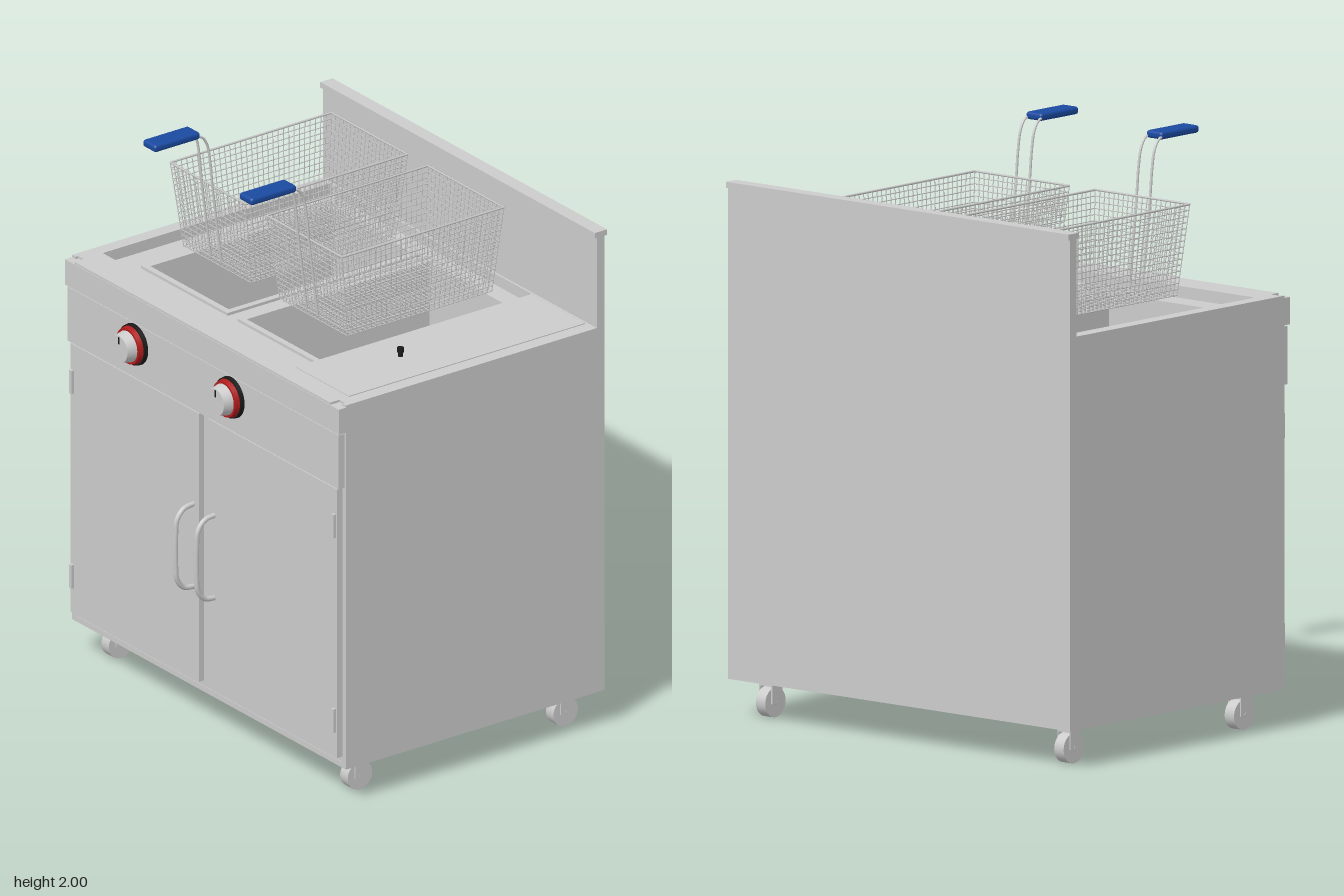
import * as THREE from 'three';
import { mergeGeometries } from 'three/addons/utils/BufferGeometryUtils.js';
import { RoundedBoxGeometry } from 'three/addons/geometries/RoundedBoxGeometry.js';

const paint = (color) => new THREE.MeshStandardMaterial({ color });
const steel = paint(0xcccccc), blue = paint(0x1a4aa0), red = paint(0xb01c1c), black = paint(0x1a1a1a);

function add(parent, name, geometry, material = steel) {
  const mesh = new THREE.Mesh(geometry, material);
  mesh.name = name;
  parent.add(mesh);
  return mesh;
}

function group(parent, name) {
  const g = new THREE.Group();
  g.name = name;
  parent.add(g);
  return g;
}

// Box given by its limits on each axis
function box(x0, x1, y0, y1, z0, z1) {
  return new THREE.BoxGeometry(x1 - x0, y1 - y0, z1 - z0)
    .translate((x0 + x1) / 2, (y0 + y1) / 2, (z0 + z1) / 2);
}

// Horizontal plate with rectangular holes; rectangles are [x0, x1, z0, z1]
function plate(outer, holes, y0, y1) {
  const loop = ([x0, x1, z0, z1]) =>
    [[x0, -z1], [x1, -z1], [x1, -z0], [x0, -z0]].map((p) => new THREE.Vector2(...p));
  const shape = new THREE.Shape(loop(outer));
  holes.forEach((h) => shape.holes.push(new THREE.Path(loop(h))));
  return new THREE.ExtrudeGeometry(shape, { depth: y1 - y0, bevelEnabled: false })
    .rotateX(-Math.PI / 2).translate(0, y0, 0);
}

// Cylinder lying along z
const discZ = (rBack, rFront, z0, z1, segments = 40) =>
  new THREE.CylinderGeometry(rFront, rBack, z1 - z0, segments)
    .rotateX(Math.PI / 2).translate(0, 0, (z0 + z1) / 2);

// Straight wire between two points
function wire(a, b, r = 0.0018) {
  const dir = b.clone().sub(a);
  const q = new THREE.Quaternion().setFromUnitVectors(new THREE.Vector3(0, 1, 0), dir.clone().normalize());
  return new THREE.CylinderGeometry(r, r, dir.length(), 5)
    .applyQuaternion(q).translate(...a.clone().add(b).multiplyScalar(0.5).toArray());
}

const tube = (points, r, steps = 32) => new THREE.TubeGeometry(
  new THREE.CatmullRomCurve3(points.map((p) => new THREE.Vector3(...p)), false, 'centripetal'), steps, r, 10);

// Tapered wire basket with its handle, centred on x = 0
function buildBasket(parent) {
  const basket = group(parent, 'basket');
  const yBottom = 1.48, yTop = 1.785, rows = 15, cols = 20, deep = 30;
  const { lerp } = THREE.MathUtils;
  // u, v run 0..1 across x and z, t runs 0..1 from bottom to top
  const point = (u, t, v) => {
    const half = lerp(0.187, 0.21, t);
    return new THREE.Vector3(lerp(-half, half, u), lerp(yBottom, yTop, t),
      lerp(lerp(-0.425, -0.458, t), lerp(0.175, 0.213, t), v));
  };
  const wires = [];
  for (let i = 0; i <= cols; i++) {
    const u = i / cols;
    wires.push(wire(point(u, 0, 0), point(u, 0, 1)));
    for (const v of [0, 1]) wires.push(wire(point(u, 0, v), point(u, 1, v)));
  }
  for (let i = 0; i <= deep; i++) {
    const v = i / deep;
    wires.push(wire(point(0, 0, v), point(1, 0, v)));
    for (const u of [0, 1]) wires.push(wire(point(u, 0, v), point(u, 1, v)));
  }
  for (let i = 0; i <= rows; i++) {
    const t = i / rows, r = i === rows ? 0.004 : 0.0018;
    for (const s of [0, 1]) {
      wires.push(wire(point(0, t, s), point(1, t, s), r));
      wires.push(wire(point(s, t, 0), point(s, t, 1), r));
    }
  }
  add(basket, 'basketMesh', mergeGeometries(wires));
  for (const x of [-0.03, 0.03]) {
    add(basket, 'handleRod', tube([[x, 1.5, 0.18], [x, 1.65, 0.2], [x, 1.79, 0.218], [x, 1.88, 0.227],
      [x, 1.945, 0.24], [x, 1.978, 0.262], [x, 1.987, 0.3]], 0.0045));
  }
  add(basket, 'handleGrip', new RoundedBoxGeometry(0.072, 0.026, 0.19, 3, 0.01).translate(0, 1.987, 0.365), blue);
  return basket;
}

// Control knob facing +z
function buildKnob(parent) {
  const knob = group(parent, 'knob');
  add(knob, 'knobFlange', discZ(0.073, 0.071, 0.513, 0.53), black);
  add(knob, 'knobRing', discZ(0.067, 0.063, 0.53, 0.547), red);
  add(knob, 'knobDial', discZ(0.055, 0.047, 0.547, 0.582));
  add(knob, 'knobPointer', box(-0.003, 0.003, 0.018, 0.043, 0.58, 0.584), black);
  return knob;
}

// Swivel caster standing on the floor
function buildCaster(parent) {
  const caster = group(parent, 'caster');
  add(caster, 'casterPlate', box(-0.035, 0.035, 0.118, 0.132, -0.045, 0.045));
  add(caster, 'casterTop', box(-0.028, 0.028, 0.106, 0.118, -0.025, 0.025));
  for (const s of [-1, 1]) {
    add(caster, 'casterFork', new THREE.BoxGeometry(0.005, 0.07, 0.05).translate(s * 0.0265, 0.083, 0));
  }
  add(caster, 'casterWheel', new THREE.CylinderGeometry(0.051, 0.051, 0.042, 32).rotateZ(Math.PI / 2).translate(0, 0.051, 0));
  add(caster, 'casterAxle', new THREE.CylinderGeometry(0.008, 0.008, 0.06, 12).rotateZ(Math.PI / 2).translate(0, 0.051, 0));
  return caster;
}

export function createModel() {
  const model = new THREE.Group();
  model.name = 'deepFryer';

  // Cabinet shell
  const cabinet = group(model, 'cabinet');
  for (const s of [-1, 1]) {
    add(cabinet, 'sidePanel', new THREE.BoxGeometry(0.02, 1.33, 1.075).translate(s * 0.75, 0.795, -0.0475));
  }
  add(cabinet, 'backPanel', box(-0.74, 0.74, 0.13, 1.46, -0.585, -0.565));
  add(cabinet, 'floorPanel', box(-0.74, 0.74, 0.13, 0.15, -0.565, 0.49));
  add(cabinet, 'frontFrame', box(-0.74, 0.74, 0.15, 1.4, 0.47, 0.488));
  add(cabinet, 'controlPanel', box(-0.752, 0.752, 1.157, 1.354, 0.485, 0.515));

  // Worktop: rim, front rail, recessed deck and side cover
  const tankX = [-0.375, 0.16], offsets = [-0.375, 0.16];
  const worktop = group(model, 'worktop');
  add(worktop, 'rim', plate([-0.76, 0.76, -0.585, 0.48], [[-0.71, 0.71, -0.545, 0.4]], 1.42, 1.46));
  add(worktop, 'frontRail', box(-0.76, 0.76, 1.36, 1.452, 0.42, 0.52));
  add(worktop, 'frontRailTop', box(-0.71, 0.71, 1.45, 1.46, 0.4, 0.518));
  add(worktop, 'deck', plate([-0.74, 0.74, -0.565, 0.42],
    tankX.map((x) => [x - 0.217, x + 0.217, -0.47, 0.29]), 1.4, 1.415));
  add(worktop, 'sideCover', box(0.415, 0.71, 1.4, 1.463, -0.54, 0.44));
  add(worktop, 'coverPin', new THREE.CylinderGeometry(0.008, 0.008, 0.025, 16).translate(0.555, 1.472, 0.11), black);
  add(worktop, 'coverPinCap', new THREE.CylinderGeometry(0.012, 0.012, 0.016, 16).translate(0.555, 1.487, 0.11), black);

  // Oil tanks sunk in the deck
  for (const x of tankX) {
    const tank = group(model, 'oilTank');
    const inner = [x - 0.217, x + 0.217, -0.47, 0.29];
    add(tank, 'tankLip', plate([x - 0.24, x + 0.24, -0.49, 0.312], [inner], 1.412, 1.425));
    add(tank, 'tankWalls', plate([x - 0.227, x + 0.227, -0.48, 0.3], [inner], 1.13, 1.412));
    add(tank, 'tankFloor', box(x - 0.227, x + 0.227, 1.115, 1.13, -0.48, 0.3));
  }

  // Splashback with folded cap
  const splash = group(model, 'splashback');
  add(splash, 'splashPanel', box(-0.76, 0.76, 1.46, 1.795, -0.585, -0.553));
  add(splash, 'splashCap', box(-0.762, 0.762, 1.79, 1.81, -0.594, -0.543));

  // Doors with handles and hinges
  for (const [x0, x1, handleX, hingeX] of [[-0.742, -0.03, -0.061, -0.729], [0.022, 0.738, 0.055, 0.725]]) {
    const door = group(model, 'door');
    add(door, 'doorPanel', box(x0, x1, 0.17, 1.15, 0.488, 0.51));
    add(door, 'doorHandle', tube([[handleX, 0.508, 0.505], [handleX, 0.516, 0.55], [handleX, 0.55, 0.577],
      [handleX, 0.6, 0.583], [handleX, 0.72, 0.583], [handleX, 0.77, 0.577], [handleX, 0.802, 0.55],
      [handleX, 0.81, 0.505]], 0.009, 48));
    for (const y of [0.305, 1.015]) {
      add(door, 'hinge', new THREE.BoxGeometry(0.014, 0.085, 0.012).translate(hingeX, y, 0.515));
    }
  }

  // Knobs and baskets, one per tank
  offsets.forEach((x) => {
    buildKnob(model).position.set(x - 0.002, 1.28, 0);
    buildBasket(model).position.x = x;
  });

  // Casters
  for (const x of [-0.663, 0.663]) {
    for (const z of [0.375, -0.48]) buildCaster(model).position.set(x, 0, z);
  }
  return model;
}
